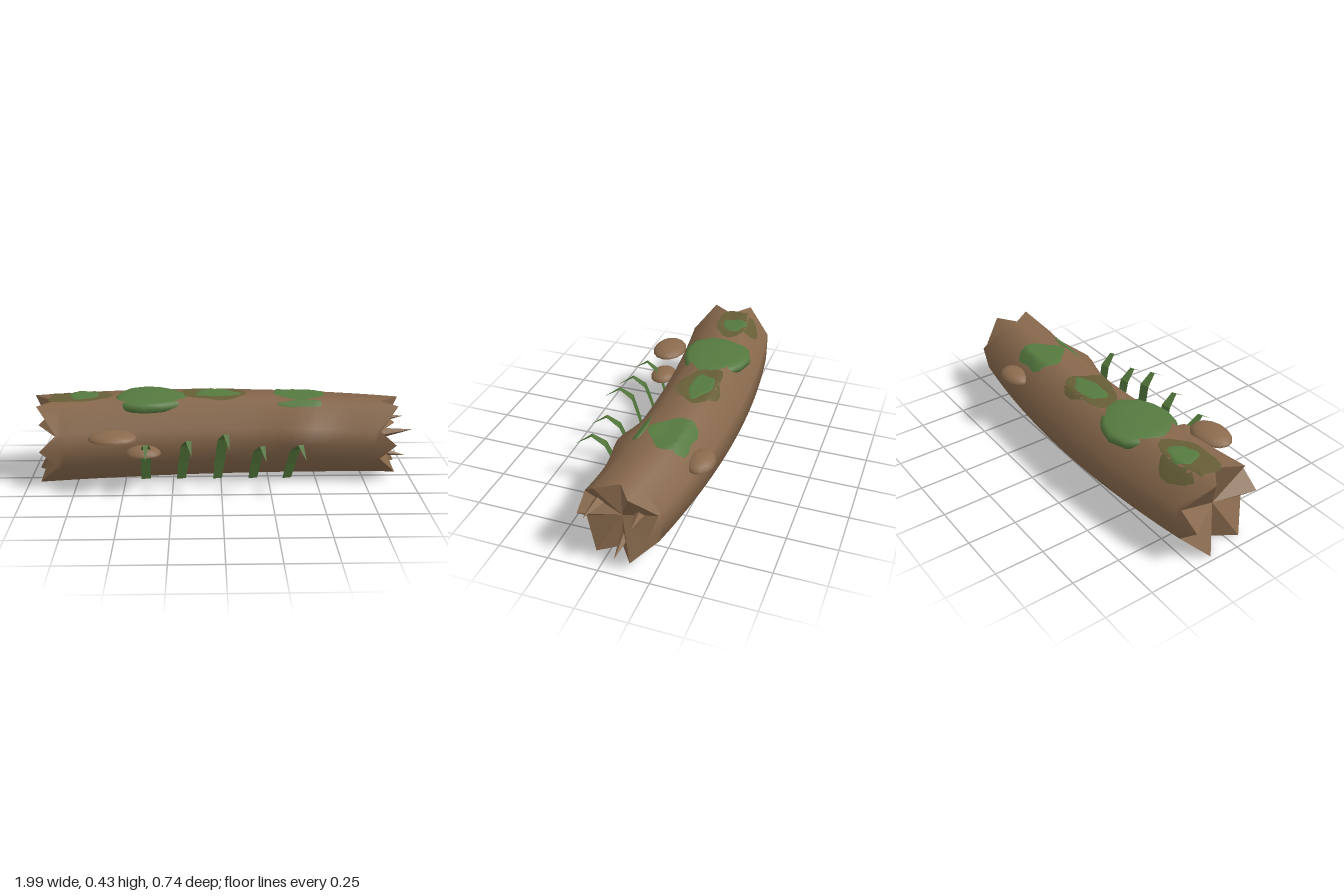
import * as THREE from 'three';

const SIDES = 12;
const DEG = Math.PI / 180;
const mat = (name, color, side = THREE.FrontSide) => {
  const m = new THREE.MeshStandardMaterial({ color, side });
  m.name = name;
  return m;
};

// Log rule: a slightly bent, tapering axis along x
const axisZ = x => -0.127 + 0.092 * x * x;
const axisY = x => 0.218 + 0.005 * x;
const radius = x => 0.228 - 0.016 * x - 0.015 * x * x;

// Section: blunt octagon ridges with a slightly sunken point on each flat side
const cornerAngle = k => (Math.floor(k / 3) * 90 + (Math.floor(k / 3) % 2 ? [0, 26, 69] : [0, 21, 64])[k % 3]) * DEG;
const cornerScale = k => (k % 3 ? 1 : k % 6 ? 0.87 : 0.92);

// Corner k of the section at x, with a burl on the front
function corner(x, k) {
  const a = cornerAngle(k);
  const burl = k < 2 ? 0.042 * Math.exp(-(((x - 0.43) / 0.14) ** 2)) : 0;
  const r = radius(x) * cornerScale(k) + burl;
  const dz = r * Math.cos(a);
  return new THREE.Vector3(x - 0.18 * x * dz, axisY(x) + r * Math.sin(a), axisZ(x) + dz);
}

// Height of the upper bark at (x, z)
function barkTop(x, z) {
  for (let k = 0; k < SIDES / 2; k++) {
    const p = corner(x, k), q = corner(x, k + 1);
    if (z <= p.z && z >= q.z && p.z - q.z > 1e-4) {
      return p.y + (q.y - p.y) * (p.z - z) / (p.z - q.z);
    }
  }
  return axisY(x);
}

function geometryFrom(points, index) {
  const g = new THREE.BufferGeometry().setFromPoints(points);
  if (index) g.setIndex(index);
  g.computeVertexNormals();
  return g;
}

export function createModel() {
  const model = new THREE.Group();
  const bark = mat('bark brown', 0x86674b);
  const fungus = mat('fungus brown', 0x8a6a4d);
  const moss = mat('moss green', 0x55793f);
  const oldMoss = mat('olive moss', 0x665e36);
  const blade = mat('grass green', 0x4f7238, THREE.DoubleSide);
  const add = (name, geometry, material) => {
    const m = new THREE.Mesh(geometry, material);
    m.name = name;
    model.add(m);
    return m;
  };

  // Bark tube with jagged first and last rings
  const rings = 28, pts = [], idx = [];
  const endX = (k, end) => (end < 0 ? (k % 2 ? -0.87 : -0.96) : (k % 2 ? 0.845 : 0.93));
  for (let i = 0; i <= rings; i++) {
    for (let k = 0; k < SIDES; k++) {
      let x = -0.84 + 1.66 * (i - 1) / (rings - 2);
      if (i === 0) x = endX(k, -1);
      if (i === rings) x = endX(k, 1);
      pts.push(corner(x, k));
      if (i < rings) {
        const a = i * SIDES + k, b = i * SIDES + (k + 1) % SIDES;
        idx.push(a, a + SIDES, b + SIDES, a, b + SIDES, b);
      }
    }
  }
  add('logBark', geometryFrom(pts, idx), bark);

  // Faceted broken ends
  for (const end of [-1, 1]) {
    const x = end < 0 ? -0.87 : 0.84, tri = [];
    const centre = new THREE.Vector3(x, axisY(x), axisZ(x));
    for (let k = 0; k < SIDES; k++) {
      const n = (k + 1) % SIDES;
      const p = corner(endX(k, end), k), q = corner(endX(n, end), n);
      tri.push(centre, ...(end > 0 ? [q, p] : [p, q]));
    }
    add(end < 0 ? 'rightBrokenEnd' : 'leftBrokenEnd', geometryFrom(tri), bark);
  }

  // Splinters sticking out of one broken end
  for (const [y, z, ty, tz] of [[0.265, 0.055, 0.285, 0.062], [0.27, -0.155, 0.285, -0.165], [0.12, -0.075, 0.09, -0.08]]) {
    const dir = new THREE.Vector3(0.16, ty - y, tz - z);
    const g = new THREE.ConeGeometry(0.028, dir.length(), 4).toNonIndexed();
    g.computeVertexNormals();
    const s = add('splinter', g, bark);
    s.quaternion.setFromUnitVectors(new THREE.Vector3(0, 1, 0), dir.clone().normalize());
    s.position.set(0.83, y, z).addScaledVector(dir, 0.5);
  }

  // Thin moss patches that follow the bark
  function patch(name, x, z, rx, rz, lift, material, seed) {
    const n = 22, steps = 6, p = [], f = [];
    for (let i = 0; i <= steps; i++) {
      for (let j = 0; j < n; j++) {
        const a = (j / n) * Math.PI * 2;
        const w = (i / steps) * (1 + 0.1 * Math.sin(3 * a + seed) + 0.07 * Math.sin(5 * a + 2 * seed));
        const px = x + rx * w * Math.cos(a), pz = z + rz * w * Math.sin(a);
        p.push(new THREE.Vector3(px, barkTop(px, pz) + (i === steps ? lift * 0.6 : lift), pz));
        if (i < steps) {
          const b = i * n + j, c = i * n + (j + 1) % n;
          f.push(b, c + n, b + n, b, c, c + n);
        }
      }
    }
    add(name, geometryFrom(p, f), material);
  }
  patch('oldMossPatch', -0.75, -0.125, 0.16, 0.12, 0.005, oldMoss, 1);
  patch('mossTuft', -0.72, -0.12, 0.075, 0.065, 0.009, moss, 2);
  patch('oldMossPatch', -0.03, -0.145, 0.17, 0.11, 0.005, oldMoss, 4);
  patch('mossTuft', -0.02, -0.15, 0.115, 0.06, 0.009, moss, 0.6);
  patch('mossPatch', 0.42, -0.155, 0.135, 0.11, 0.008, moss, 3);
  patch('mossStrip', 0.42, 0.0, 0.115, 0.022, 0.008, moss, 5);

  // Large moss cushion overhanging the sides of the log top
  const cushionShape = new THREE.SphereGeometry(1, 13, 12);
  const cp = cushionShape.attributes.position;
  for (let i = 0; i < cp.count; i++) {
    const a = Math.atan2(cp.getZ(i), cp.getX(i));
    const w = 1 + 0.06 * Math.sin(3 * a + 1);
    cp.setXYZ(i, cp.getX(i) * w, Math.sign(cp.getY(i)) * Math.abs(cp.getY(i)) ** 0.5, cp.getZ(i) * w);
  }
  cushionShape.computeVertexNormals();
  const cushion = add('mossCushion', cushionShape, moss);
  cushion.scale.set(0.2, 0.038, 0.18);
  cushion.position.set(-0.37, 0.397, -0.118);

  // Shelf fungi: domes with flat undersides
  const dome = new THREE.SphereGeometry(1, 14, 5, 0, Math.PI * 2, 0, Math.PI / 2);
  const under = new THREE.CircleGeometry(1, 14).rotateX(Math.PI / 2);
  for (const [x, y, z, rx, ry, rz] of [
    [-0.545, 0.295, 0.21, 0.123, 0.04, 0.09],
    [-0.395, 0.21, 0.193, 0.09, 0.04, 0.07],
    [0.46, 0.314, -0.307, 0.1, 0.042, 0.07],
  ]) {
    const shelf = new THREE.Group();
    shelf.name = 'shelfFungus';
    shelf.add(new THREE.Mesh(dome, fungus), new THREE.Mesh(under, fungus));
    shelf.children[0].name = 'fungusCap';
    shelf.children[1].name = 'fungusUnderside';
    shelf.position.set(x, y, z);
    shelf.scale.set(rx, ry, rz);
    model.add(shelf);
  }

  // Bent, slightly twisted grass blades along the front: [x, top height]
  for (const [x, top] of [[-0.385, 0.29], [-0.205, 0.31], [-0.02, 0.343], [0.16, 0.28], [0.335, 0.285]]) {
    const lean = x < -0.3 ? 0.01 : x > 0.3 ? 0.068 : 0.05;
    const rows = [ // across, height, depth, half width
      [0, 0.065, 0.17, 0.023],
      [lean * 0.25, 0.15 + (top - 0.28) * 0.5, 0.193, 0.026],
      [lean * 0.5, top - 0.05, 0.22, 0.026],
      [lean * 0.8, top, 0.285, 0.014],
      [lean * 1.1, top - 0.052, 0.362, 0.001],
    ];
    const p = [], f = [];
    rows.forEach(([dx, y, z, w], i) => {
      const twist = w * 0.22;
      p.push(new THREE.Vector3(x + dx - w, y, z + twist), new THREE.Vector3(x + dx + w, y, z - twist));
      if (i) f.push(2 * i - 2, 2 * i - 1, 2 * i + 1, 2 * i - 2, 2 * i + 1, 2 * i);
    });
    add('grassBlade', geometryFrom(p, f).toNonIndexed(), blade).geometry.computeVertexNormals();
  }
  return model;
}
